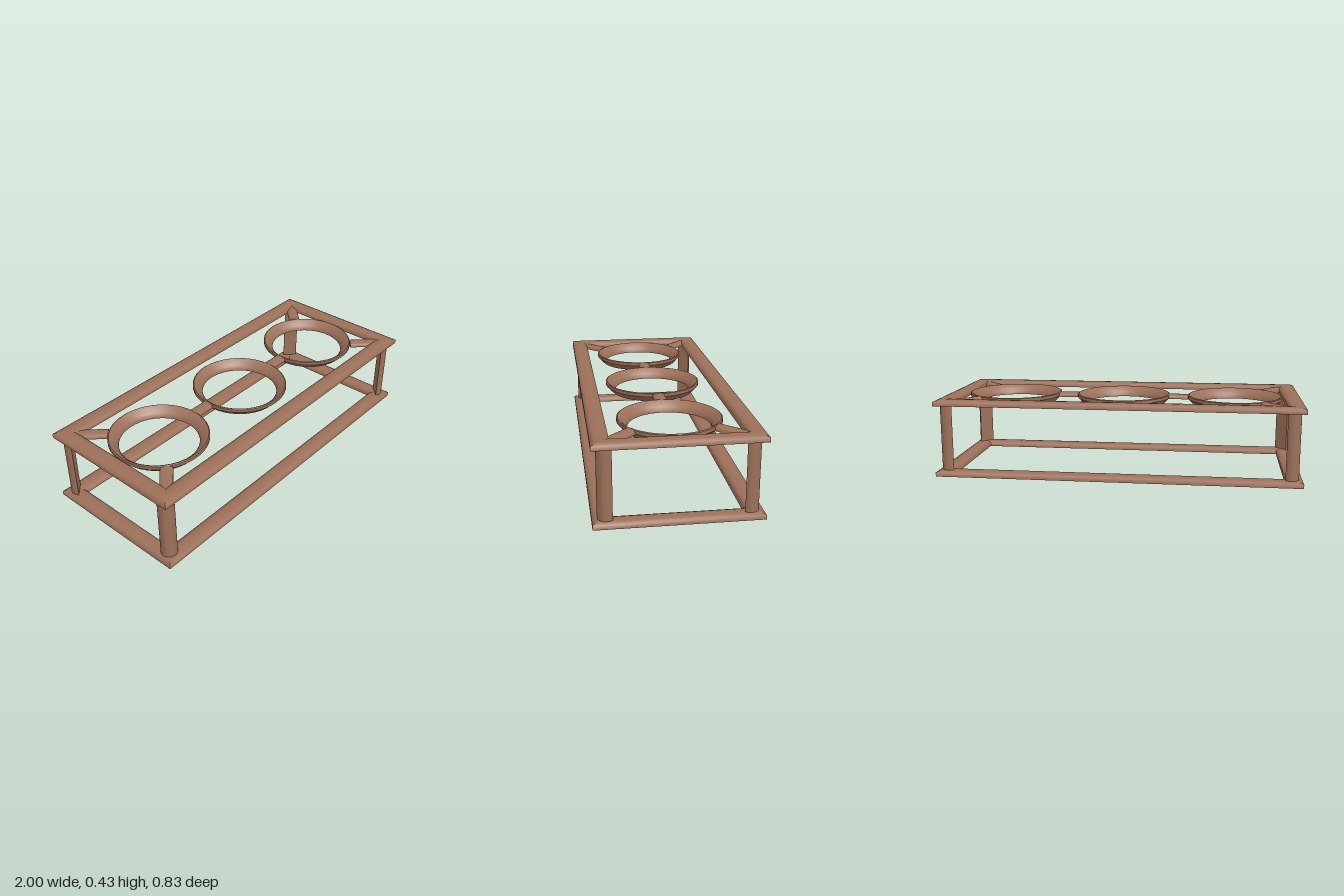
import * as THREE from 'three';
import { toCreasedNormals } from 'three/addons/utils/BufferGeometryUtils.js';

const wood = new THREE.MeshStandardMaterial({ color: 0x9c7059 });
wood.name = 'brown wood';
const bare = new THREE.MeshStandardMaterial({ color: 0x93867b });
bare.name = 'bare grey';

const HX = 1, HZ = 0.417; // half size of the frames
const TOP = 0.396; // underside of the upper frame
const CORNERS = [[1, 1], [1, -1], [-1, -1], [-1, 1]];

function add(parent, name, geometry, material = wood) {
  const mesh = new THREE.Mesh(geometry, material);
  mesh.name = name;
  parent.add(mesh);
  return mesh;
}

// One mitred side of the rectangle; points are [inset, height]
function railStrip(side, points) {
  const pos = [], index = [];
  for (const [inset, y] of points) {
    for (const [cx, cz] of [CORNERS[side], CORNERS[(side + 1) % 4]]) {
      pos.push(cx * (HX - inset), y, cz * (HZ - inset));
    }
  }
  for (let a = 0; a < (points.length - 1) * 2; a += 2) {
    index.push(a, a + 1, a + 3, a, a + 3, a + 2);
  }
  const g = new THREE.BufferGeometry();
  g.setAttribute('position', new THREE.Float32BufferAttribute(pos, 3));
  g.setIndex(index);
  g.computeVertexNormals();
  return g;
}

// Rectangular frame with gently domed rails; one long rail is brown underneath, the others grey
function makeFrame(name, y, brownSide) {
  const frame = new THREE.Group();
  frame.name = name;
  const w = 0.091;
  const dome = [[0, 0], [0, 0.022], [0.021, 0.031], [w / 2, 0.0325], [w - 0.021, 0.031], [w, 0.022], [w, 0]];
  for (let side = 0; side < 4; side++) {
    add(frame, 'rail', railStrip(side, dome));
    add(frame, 'railUnderside', railStrip(side, [[w, 0], [0, 0]]), side === brownSide ? wood : bare);
  }
  frame.position.y = y;
  return frame;
}

// Half-round bar between two points on the plan
function makeBar(parent, name, x0, z0, x1, z1) {
  const hw = 0.033, length = Math.hypot(x1 - x0, z1 - z0);
  const shape = new THREE.Shape();
  shape.moveTo(-hw, 0);
  shape.lineTo(hw, 0);
  shape.lineTo(hw, 0.012);
  shape.absellipse(0, 0.012, hw, 0.013, 0, Math.PI, false);
  shape.closePath();
  const g = new THREE.ExtrudeGeometry(shape, { depth: length, bevelEnabled: false, curveSegments: 8 });
  const bar = add(parent, name, toCreasedNormals(g, 0.7));
  bar.position.set(x0, TOP, z0);
  bar.rotation.y = Math.atan2(x1 - x0, z1 - z0);
}

// Half-round post, flat side facing -z
function makeLegGeometry() {
  const shape = new THREE.Shape();
  shape.absarc(0, 0, 0.043, Math.PI, Math.PI * 2, false);
  shape.closePath();
  const g = new THREE.ExtrudeGeometry(shape, { depth: TOP - 0.02, bevelEnabled: false, curveSegments: 16 });
  g.rotateX(-Math.PI / 2);
  return toCreasedNormals(g, 0.7);
}

function lathe(points, start = 0, sweep = Math.PI * 2) {
  const segments = Math.round(sweep * 8);
  const g = new THREE.LatheGeometry(points.map(([r, y]) => new THREE.Vector2(r, y)), segments, start, sweep);
  return toCreasedNormals(g, 0.7);
}

// Funnel-shaped holder ring with a domed inside, half of its outside grey
function makeRing(x) {
  const ring = new THREE.Group();
  ring.name = 'holderRing';
  const cone = [[0.231, 0.365], [0.266, 0.401]];
  const start = THREE.MathUtils.degToRad(133);
  const inside = [[0.266, 0.401], [0.266, 0.418], [0.26, 0.422], [0.245, 0.412], [0.225, 0.392], [0.212, 0.374], [0.212, 0.365], [0.231, 0.365]];
  add(ring, 'ringInside', lathe(inside));
  add(ring, 'ringOutside', lathe(cone, start + Math.PI, Math.PI));
  add(ring, 'ringOutsideBack', lathe(cone, start, Math.PI), bare);
  ring.position.x = x;
  return ring;
}

export function createModel() {
  const model = new THREE.Group();
  model.name = 'threeRingStand';

  model.add(makeFrame('lowerFrame', 0, 1), makeFrame('upperFrame', TOP, 3));

  // Legs with their round side outwards, and diagonal braces to the outer rings
  const legGeometry = makeLegGeometry();
  for (const [sx, sz] of CORNERS) {
    const leg = add(model, 'leg', legGeometry);
    leg.position.set(sx * 0.936, 0.022, sz * 0.349);
    leg.rotation.y = Math.atan2(sx, sz);
    makeBar(model, 'cornerBrace', sx * 0.92, sz * 0.341, sx * 0.794, sz * 0.215);
  }

  // Rings and the links between them
  for (const x of [-0.637, 0, 0.637]) model.add(makeRing(x));
  for (const s of [-1, 1]) makeBar(model, 'ringLink', s * 0.258, 0, s * 0.379, 0);

  return model;
}
